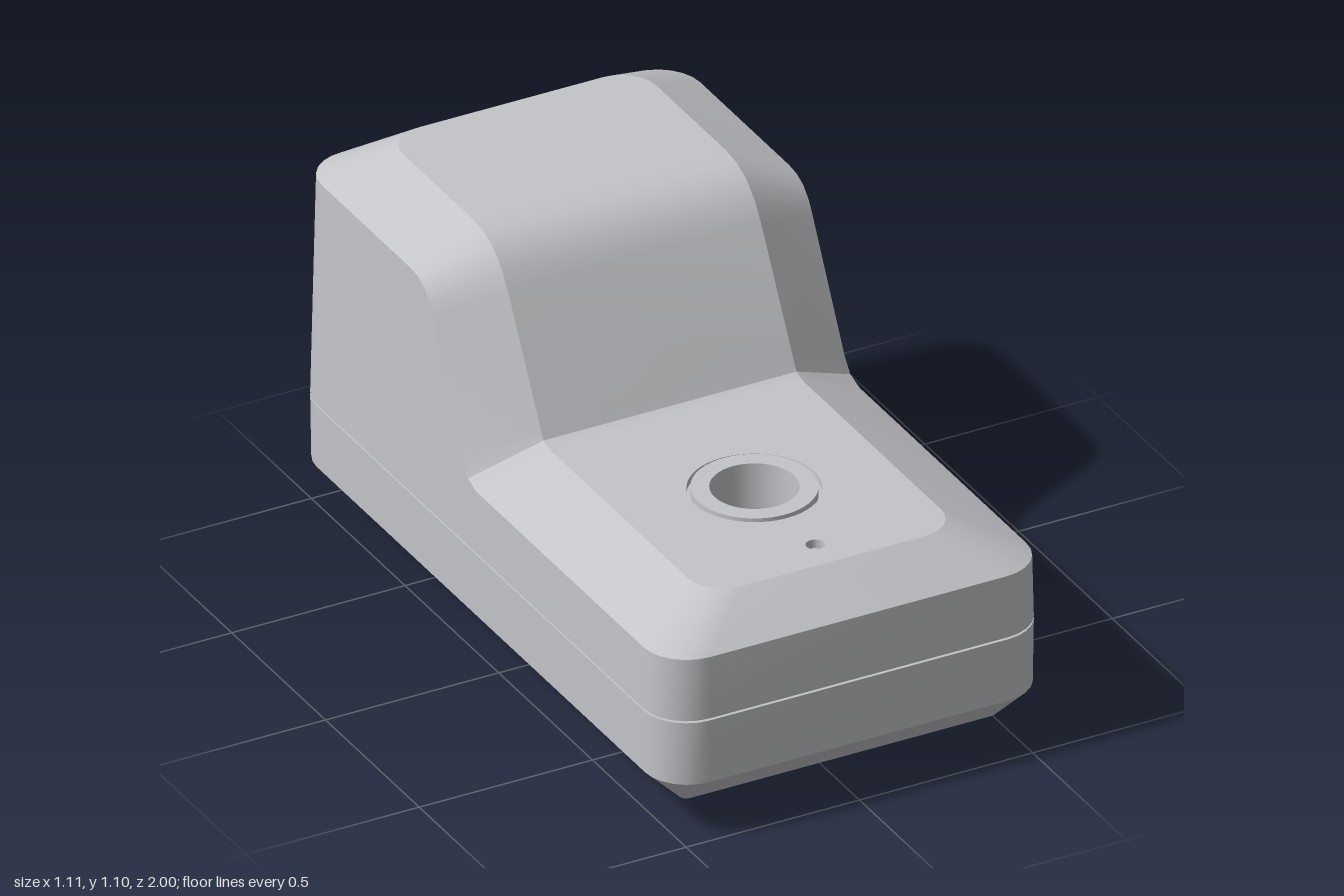
import * as THREE from 'three';
import { mergeGeometries, toCreasedNormals } from 'three/addons/utils/BufferGeometryUtils.js';

const SPLIT = 0.358, HX = 0.555, HZ = 0.998, R = 0.125;
const HOLE_Z = 0.44, LED_Z = 0.765;

// Side profiles from back to front as [z, y]: the crown edge and the lower shoulder edge
const CROWN = [[-0.39, 1.097], [-0.33, 1.09], [-0.28, 1.07], [-0.235, 1.03], [-0.2, 0.98],
  [-0.025, 0.665], [-0.01, 0.64], [0.02, 0.63]];
const SHOULDER = [[-0.39, 1.005], [-0.35, 1.0], [-0.315, 0.985], [-0.285, 0.955], [-0.265, 0.92],
  [-0.1, 0.59], [-0.07, 0.55], [-0.02, 0.535]];

// Right half of a rounded rectangle, back to front, with extra points on the side
function half(hx, hz, r, side, yBack, yFront) {
  const pts = [], n = 6;
  for (let i = 0; i <= n; i++) {
    const a = (i / n) * Math.PI / 2;
    pts.push(new THREE.Vector3(hx - r + r * Math.sin(a), yBack, -hz + r - r * Math.cos(a)));
  }
  side.forEach(([z, y]) => pts.push(new THREE.Vector3(hx, y, z)));
  for (let i = 0; i <= n; i++) {
    const a = (i / n) * Math.PI / 2;
    pts.push(new THREE.Vector3(hx - r + r * Math.cos(a), yFront, hz - r + r * Math.sin(a)));
  }
  return pts;
}
const mirror = pts => pts.map(p => new THREE.Vector3(-p.x, p.y, p.z));
const full = pts => [...pts, ...mirror(pts).reverse()];
const ring = (hx, hz, r, y) => full(half(hx, hz, r, [], y, y));

// Draft: walls lean inward with height
const lean = y => 1 - 0.025 * (y - SPLIT);
const drafted = pts => pts.map(p => new THREE.Vector3(p.x * lean(p.y), p.y, p.z * lean(p.y)));

// Surface through successive point rows
function skin(rows, closed = true) {
  const pos = [];
  for (let k = 0; k + 1 < rows.length; k++) {
    const a = rows[k], b = rows[k + 1], n = a.length;
    for (let i = 0; i < (closed ? n : n - 1); i++) {
      const j = (i + 1) % n;
      for (const p of [a[i], b[i], a[j], b[i], b[j], a[j]]) pos.push(p.x, p.y, p.z);
    }
  }
  const g = new THREE.BufferGeometry();
  g.setAttribute('position', new THREE.Float32BufferAttribute(pos, 3));
  return g;
}

function plain(g) {
  const out = g.index ? g.toNonIndexed() : g;
  for (const name of ['uv', 'normal']) out.deleteAttribute(name);
  return out;
}
const crease = (...parts) => toCreasedNormals(mergeGeometries(parts.map(plain)), 0.38);
const shape = pts => new THREE.Shape(pts.map(([x, y]) => new THREE.Vector2(x, y)));
const circle = (y, r) => new THREE.Path().absarc(0, y, r, 0, Math.PI * 2, true);
const lathe = pts => crease(new THREE.LatheGeometry(pts.map(([x, y]) => new THREE.Vector2(x, y)), 48));
const rect = (x, y0, y1) => [[-x, y0], [x, y0], [x, y1], [-x, y1]];

export function createModel() {
  const model = new THREE.Group();
  const plastic = new THREE.MeshStandardMaterial({ color: 0xc4c5c9, side: THREE.DoubleSide });
  plastic.name = 'light grey plastic';
  const add = (name, geometry, z = 0) => {
    const m = new THREE.Mesh(geometry, plastic);
    m.name = name;
    m.position.z = z;
    model.add(m);
  };

  // Lower shell: bevelled base, wall and the narrow seam groove
  const floorRing = half(0.455, 0.9, 0.02, [], 0.075, 0.075);
  const floor = shape(full(floorRing).map(p => [p.x, p.z]));
  floor.holes.push(circle(HOLE_Z, 0.115));
  add('lowerShell', crease(
    skin([full(floorRing), ring(0.551, 0.996, 0.12, 0.17), ring(HX, HZ, R, 0.352),
      ring(0.52, 0.963, 0.1, 0.352), ring(0.52, 0.963, 0.1, SPLIT), ring(HX, HZ, R, SPLIT)]),
    new THREE.ShapeGeometry(floor, 24).rotateX(Math.PI / 2).translate(0, 0.075, 0)));

  // Upper shell: wall, sloped shoulder, crown and front deck
  const base = half(HX, HZ, R, SHOULDER.map(([z]) => [z, SPLIT]), SPLIT, SPLIT);
  const rim = drafted(half(HX, HZ, R, SHOULDER, 1.005, 0.535));
  const crown = half(0.365, 0.86, 0.1, CROWN, 1.097, 0.63);
  const deckStart = 7 + CROWN.length - 1;
  const hump = crown.slice(0, deckStart + 1);
  const deck = shape(full(crown.slice(deckStart)).map(p => [p.x, -p.z]));
  deck.holes.push(circle(-HOLE_Z, 0.173), circle(-LED_Z, 0.025));

  // Back wall with the socket cut-out
  const panel = shape([[-base[0].x, SPLIT], [base[0].x, SPLIT], [rim[0].x, 1.005], [-rim[0].x, 1.005]]);
  panel.holes.push(shape(rect(0.255, 0.362, 0.945)));
  const back = new THREE.ShapeGeometry(panel).rotateY(Math.PI);
  const bp = back.attributes.position;
  for (let i = 0; i < bp.count; i++) bp.setZ(i, -HZ * lean(bp.getY(i)));

  add('upperShell', crease(
    skin([full(base), full(rim)], false),
    skin([full(rim), full(crown)]),
    skin([hump, mirror(hump)], false),
    new THREE.ShapeGeometry(deck, 24).rotateX(-Math.PI / 2).translate(0, 0.63, 0),
    back));

  // Socket: thin surround, recessed face plate and stepped cavity
  const surround = shape(rect(0.26, 0.325, 0.95));
  surround.holes.push(shape(rect(0.243, 0.342, 0.933)));
  add('socketSurround', crease(
    new THREE.ExtrudeGeometry(surround, { depth: 0.04, bevelEnabled: false }).translate(0, 0, -1)));

  const steps = [[0.2, 0.37], [0.2, 0.73], [0.14, 0.73], [0.14, 0.81], [0.075, 0.81], [0.075, 0.89]];
  const outline = [...steps, ...steps.map(([x, y]) => [-x, y]).reverse()];
  const plate = shape(rect(0.255, 0.345, 0.945));
  plate.holes.push(shape(outline));
  const FACE = -0.978, DEEP = -0.4;
  add('socketPlate', crease(new THREE.ShapeGeometry(plate).rotateY(Math.PI).translate(0, 0, FACE)));
  const row = z => outline.map(([x, y]) => new THREE.Vector3(x, y, z));
  add('socketCavity', crease(
    skin([row(DEEP), row(FACE)]),
    new THREE.ShapeGeometry(shape(outline)).rotateY(Math.PI).translate(0, 0, DEEP)));

  // Through hole with its raised collar
  add('holeSleeve', lathe([[0.173, 0.63], [0.173, 0.61], [0.163, 0.61], [0.163, 0.635],
    [0.115, 0.635], [0.115, 0.075]]), HOLE_Z);

  // Small indicator recess on the deck
  add('indicator', lathe([[0.025, 0.63], [0.025, 0.605], [0, 0.612]]), LED_Z);

  // Round peg under the base
  add('peg', lathe([[0, 0], [0.105, 0], [0.112, 0.004], [0.115, 0.012], [0.115, 0.066],
    [0.119, 0.073], [0.127, 0.077]]), -0.2);

  return model;
}
